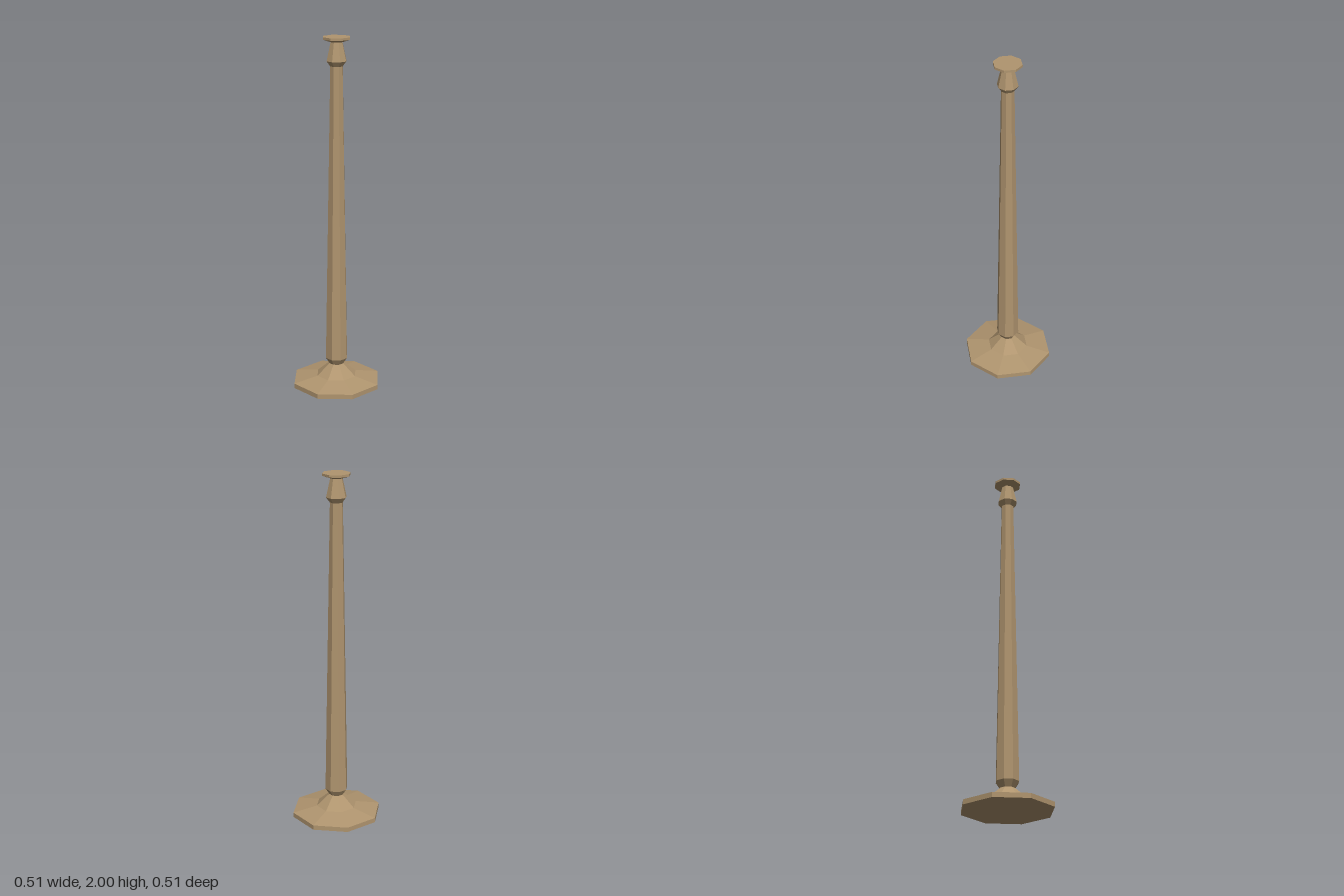
import * as THREE from 'three';

const SIDES = 8;

export function createModel() {
  const group = new THREE.Group();
  const wood = new THREE.MeshStandardMaterial({ color: 0xb0956f, flatShading: true });

  // Eight-sided turned section; profile is [radius, height] from bottom to top
  function turned(name, profile) {
    const points = profile.map(([r, y]) => new THREE.Vector2(r, y));
    const mesh = new THREE.Mesh(new THREE.LatheGeometry(points, SIDES), wood);
    mesh.name = name;
    group.add(mesh);
  }

  // Wide flat foot with a gently sloping top
  turned('base', [[0, 0], [0.257, 0], [0.257, 0.027], [0.117, 0.055]]);
  // Cone rising from the foot to a narrow neck
  turned('baseCone', [[0.117, 0.055], [0.042, 0.122]]);
  // Long tapering post, flared out above the neck
  turned('shaft', [[0.042, 0.122], [0.065, 0.158], [0.036, 1.842]]);
  // Bulging collar narrowing towards the top
  turned('collar', [[0.036, 1.842], [0.057, 1.87], [0.034, 1.972]]);
  // Flat cap with a chamfered underside
  turned('cap', [[0.034, 1.972], [0.078, 1.987], [0.078, 2], [0, 2]]);

  return group;
}
